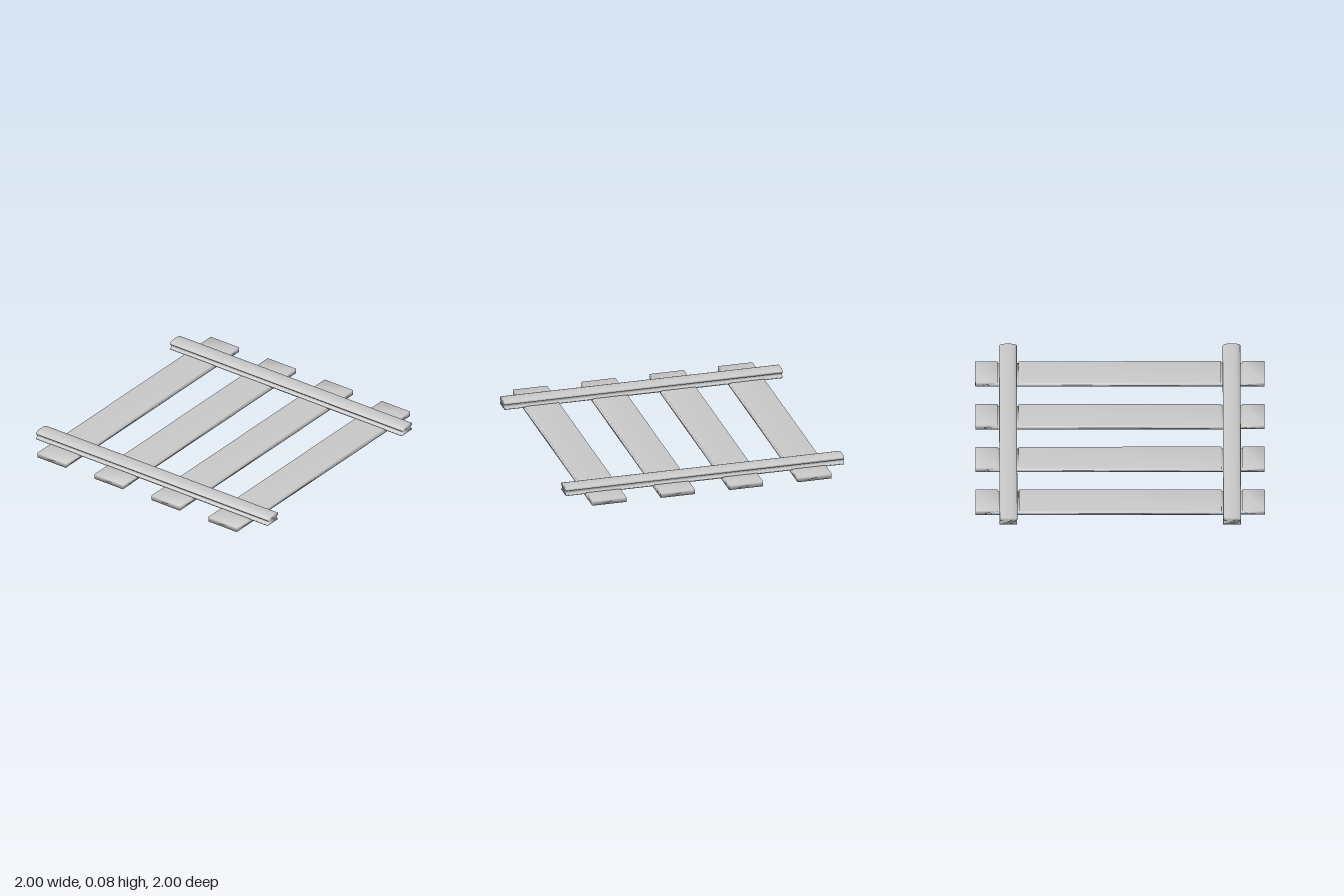
import * as THREE from 'three';
import { mergeVertices } from 'three/addons/utils/BufferGeometryUtils.js';

const RAIL_Z = 0.773;
const material = new THREE.MeshStandardMaterial({ color: 0xcccccc });

// Extrude a (z, y) outline along x, centred on x = 0, with softened normals
function extrudeAlongX(points, length) {
  const shape = new THREE.Shape(points.map(([z, y]) => new THREE.Vector2(z, y)));
  let geometry = new THREE.ExtrudeGeometry(shape, { depth: length, bevelEnabled: false });
  geometry.translate(0, 0, -length / 2);
  geometry.rotateY(Math.PI / 2);
  geometry.deleteAttribute('normal');
  geometry.deleteAttribute('uv');
  geometry = mergeVertices(geometry, 1e-4);
  geometry.computeVertexNormals();
  return geometry;
}

// Complete a half outline by mirroring it across z = 0
const mirrored = (half) => [...half, ...half.map(([z, y]) => [-z, y]).reverse()];

export function createModel() {
  const group = new THREE.Group();
  group.name = 'trackSection';

  // Sleepers: flat planks with a shallow notch under each rail
  const sleeperGeometry = extrudeAlongX(mirrored([
    [1, 0], [1, 0.035],
    [RAIL_Z + 0.074, 0.035], [RAIL_Z + 0.07, 0.02],
    [RAIL_Z - 0.07, 0.02], [RAIL_Z - 0.074, 0.035],
  ]), 0.245);
  [-0.74, -0.248, 0.244, 0.736].forEach((x, i) => {
    const sleeper = new THREE.Mesh(sleeperGeometry, material);
    sleeper.name = `sleeper${i + 1}`;
    sleeper.position.x = x;
    group.add(sleeper);
  });

  // Rails: flared foot, narrow web and rounded head
  const railGeometry = extrudeAlongX(mirrored([
    [0.061, 0.02], [0.058, 0.026], [0.047, 0.036], [0.044, 0.05],
    [0.056, 0.055], [0.062, 0.064], [0.057, 0.072], [0.038, 0.079], [0.015, 0.082],
  ]), 2);
  for (const side of [-1, 1]) {
    const rail = new THREE.Mesh(railGeometry, material);
    rail.name = side > 0 ? 'frontRail' : 'backRail';
    rail.position.z = side * RAIL_Z;
    group.add(rail);
  }

  return group;
}
